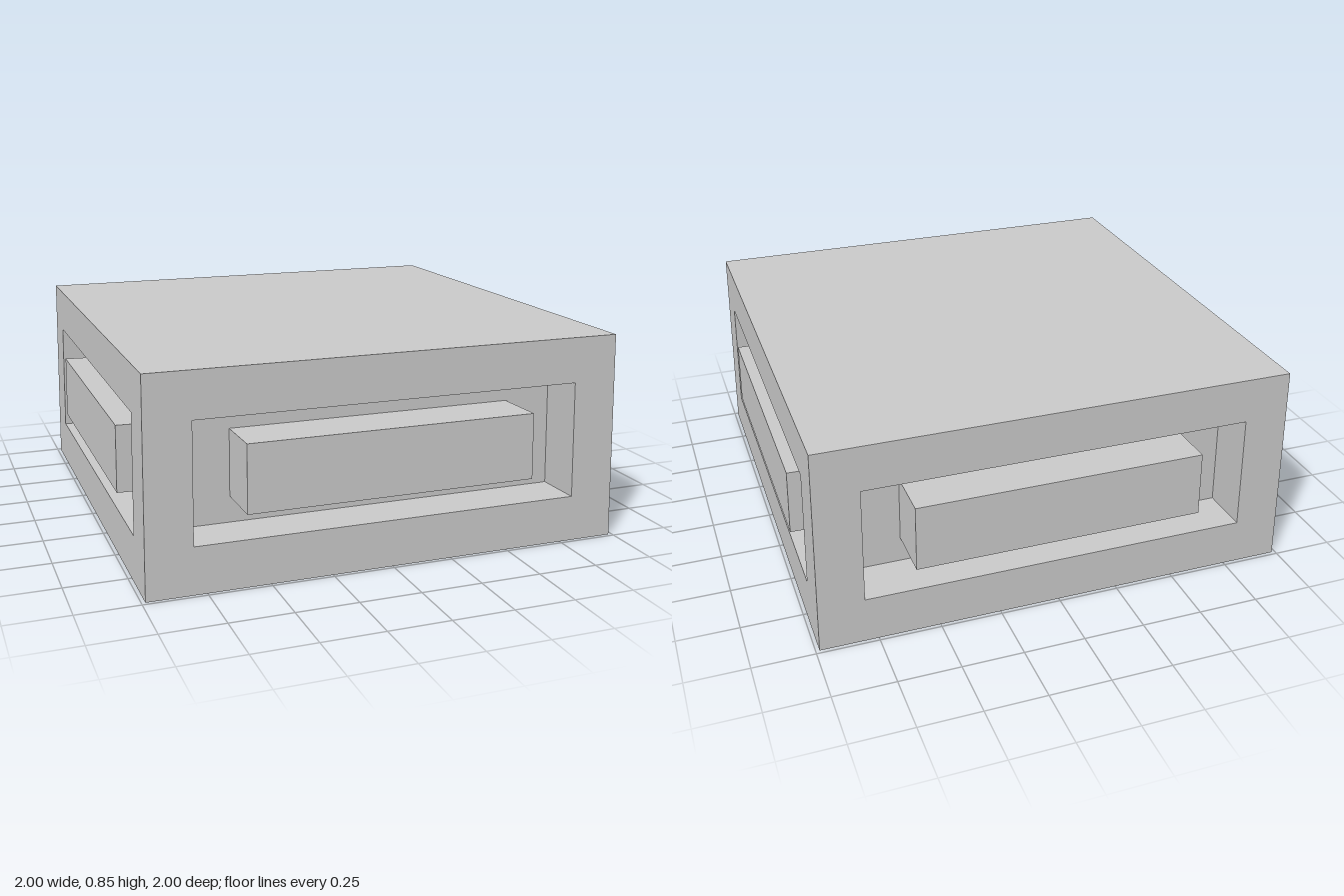
import * as THREE from 'three';

const HALF = 0.985, HEIGHT = 0.853, LEAN = 0.0205, DEPTH = 0.21;
const taper = (y) => 1 - LEAN * y;

// Four corners of a rectangle lying d behind the leaning side face
function ring([u, y0, y1, d]) {
  return [[-u, y0], [u, y0], [u, y1], [-u, y1]].map(([x, y]) =>
    [x * taper(y), y - LEAN * d, (HALF - d) * taper(y)]);
}

// Flat-shaded skin through successive rectangles, optionally capped at the end
function skin(sections, cap) {
  const rings = sections.map(ring), pos = [];
  const quad = (a, b, c, d) => pos.push(...a, ...b, ...c, ...a, ...c, ...d);
  for (let k = 0; k < rings.length - 1; k++) {
    const a = rings[k], b = rings[k + 1];
    for (let i = 0; i < 4; i++) {
      const j = (i + 1) % 4;
      quad(a[i], a[j], b[j], b[i]);
    }
  }
  if (cap) quad(...rings[rings.length - 1]);
  const g = new THREE.BufferGeometry();
  g.setAttribute('position', new THREE.Float32BufferAttribute(pos, 3));
  g.computeVertexNormals();
  return g;
}

export function createModel() {
  const model = new THREE.Group();
  model.name = 'recessedBlock';
  const material = new THREE.MeshStandardMaterial({ color: 0xcccccc, flatShading: true });
  const add = (parent, name, geometry) => {
    const mesh = new THREE.Mesh(geometry, material);
    mesh.name = name;
    parent.add(mesh);
    return mesh;
  };

  // Side frame with its recess, and the bar standing in it
  const frame = skin([
    [HALF, 0, HEIGHT, 0],
    [0.8, 0.19, 0.668, 0],
    [0.8, 0.19, 0.668, DEPTH],
  ], true);
  const bar = skin([
    [0.6, 0.295, 0.566, DEPTH],
    [0.6, 0.295, 0.566, -0.021],
  ], true);

  ['front', 'left', 'back', 'right'].forEach((side, i) => {
    const group = new THREE.Group();
    group.name = side + 'Side';
    group.rotation.y = i * Math.PI / 2;
    add(group, side + 'Frame', frame);
    add(group, side + 'Bar', bar);
    model.add(group);
  });

  // Top and bottom slabs close the body
  const topSize = 2 * HALF * taper(HEIGHT);
  const top = add(model, 'topFace', new THREE.PlaneGeometry(topSize, topSize).rotateX(-Math.PI / 2));
  top.position.y = HEIGHT;
  add(model, 'bottomFace', new THREE.PlaneGeometry(2 * HALF, 2 * HALF).rotateX(Math.PI / 2));

  return model;
}
